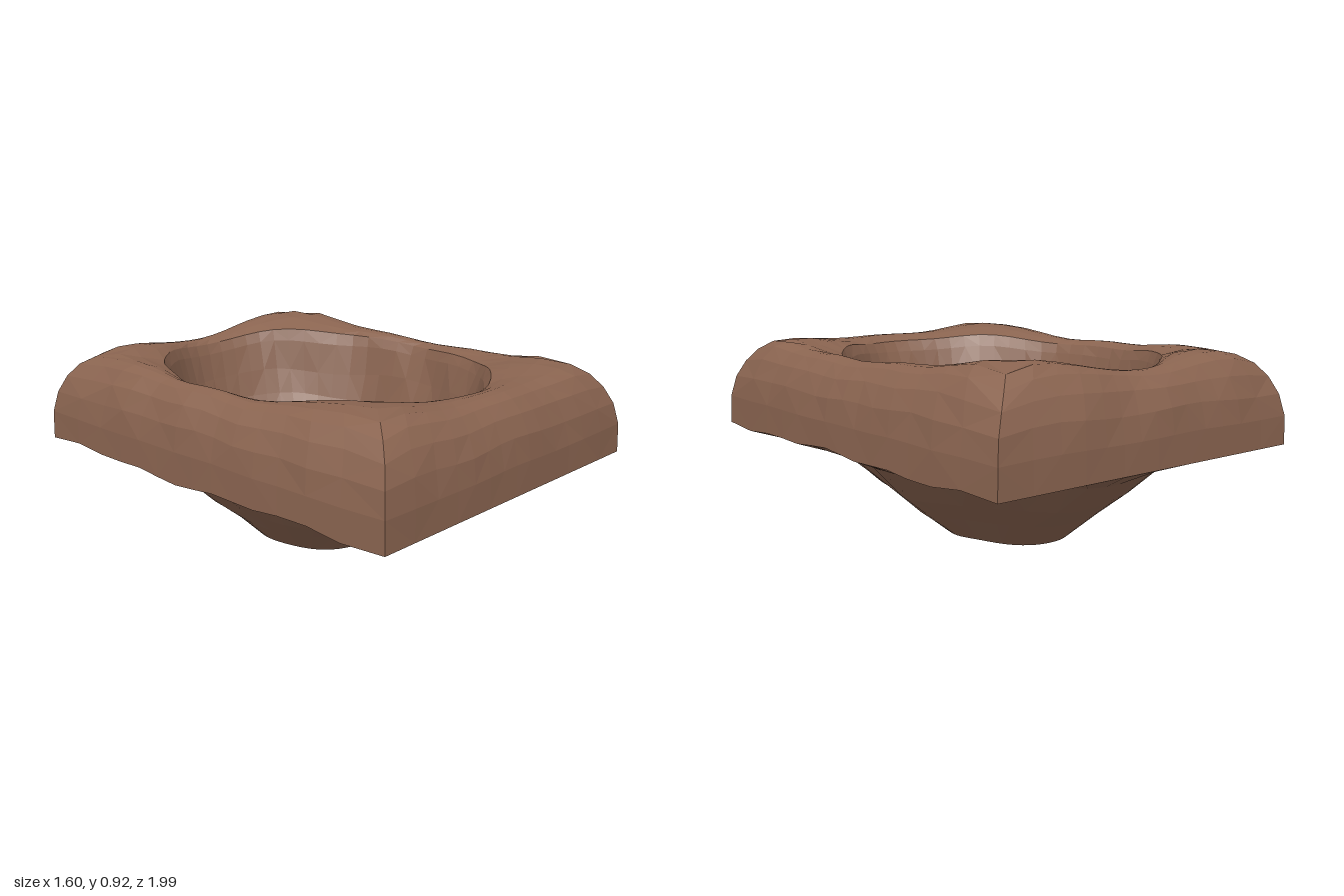
import * as THREE from 'three';

const N = 56; // points per ring, a multiple of 8 so corners are hit exactly
const W = 0.79, D = 0.995;

// Smooth, repeatable unevenness based on position
const wobble = (x, y, z) =>
  Math.sin(x * 9.1 + z * 5.3 + y * 4) * 0.5 + Math.sin(z * 13.7 - x * 7.9 + y * 11) * 0.5;

const ring = (fn) => Array.from({ length: N }, (_, i) => {
  const a = (i / N) * Math.PI * 2;
  return fn(Math.cos(a), Math.sin(a));
});

// Rectangle outline pulled in by an inset, its long sides bowed out a little
const rectangle = (inset, y) => ring((c, s) => {
  const m = Math.max(Math.abs(c), Math.abs(s));
  const bow = 0.008 * (1 - (s / m) ** 2);
  return new THREE.Vector3((c / m) * (W - inset + bow), y, (s / m) * (D - inset));
});

// Slightly turned oval; smaller ovals drift towards the lowest point
const oval = (scale, y, rx, rz, turn) => ring((c, s) => {
  const x = c * rx * scale, z = s * rz * scale;
  const ct = Math.cos(turn), st = Math.sin(turn);
  return new THREE.Vector3(x * ct + z * st, y, z * ct - x * st - 0.13 + 0.09 * scale);
});

// Height change of the bank: humps inside the corners, easing down at the corners
function bankHeight(x, z) {
  const ax = Math.abs(x), az = Math.abs(z);
  const hump = Math.exp(-(((ax - 0.52) / 0.27) ** 2) - ((az - 0.74) / 0.32) ** 2);
  const size = x > 0 && z < 0 ? 0.065 : x < 0 && z > 0 ? 0.045 : 0.03;
  const fall = THREE.MathUtils.smoothstep(ax, 0.5, 0.8) * THREE.MathUtils.smoothstep(az, 0.7, 1);
  return size * hump - 0.05 * fall;
}

// Add unevenness to a ring
function roughen(points, amount, rise = 0) {
  for (const p of points) {
    const w = wobble(p.x, p.y, p.z);
    p.y += rise * bankHeight(p.x, p.z) + w * amount;
    p.x += Math.sin(p.z * 17 + p.y * 9) * amount * 0.5;
    p.z += Math.sin(p.x * 15 + p.y * 8) * amount * 0.5;
  }
  return points;
}

// Join successive rings into a surface
function loft(name, rings, material) {
  const positions = rings.flat().flatMap((p) => [p.x, p.y, p.z]);
  const index = [];
  for (let r = 0; r < rings.length - 1; r++) {
    for (let i = 0; i < N; i++) {
      const a = r * N + i, b = r * N + ((i + 1) % N), c = a + N, d = b + N;
      if ((i + r) % 2) index.push(a, c, b, b, c, d);
      else index.push(a, d, b, a, c, d);
    }
  }
  const geometry = new THREE.BufferGeometry();
  geometry.setAttribute('position', new THREE.Float32BufferAttribute(positions, 3));
  geometry.setIndex(index);
  geometry.computeVertexNormals();
  const mesh = new THREE.Mesh(geometry, material);
  mesh.name = name;
  return mesh;
}

export function createModel() {
  const group = new THREE.Group();
  group.name = 'earthPit';
  const earth = new THREE.MeshStandardMaterial({ color: 0x8a6450, flatShading: true });

  const lowerEdge = rectangle(0, 0.485);
  for (const p of lowerEdge) {
    if (Math.abs(p.x) > W - 0.01 && Math.abs(p.z) < D - 0.05) p.y += 0.015 * wobble(p.x, 0, p.z);
  }
  const pitEdge = roughen(oval(1, 0.79, 0.595, 0.745, 0.12), 0.012, 0.8);

  // Rounded bank: outer sides up to the crest
  const bank = [[0.003, 0.61], [0.02, 0.71], [0.055, 0.79], [0.1, 0.84]]
    .map(([inset, y], i) => roughen(rectangle(inset, y), i ? 0.01 : 0.003, i / 4));
  // Top of the bank, blending from rectangle to oval
  const shoulder = rectangle(0.13, 0.855);
  const mouth = oval(1.03, 0.835, 0.595, 0.745, 0.12);
  const crown = [0.1, 0.4, 0.7, 1].map((t) => roughen(
    shoulder.map((p, i) => {
      const q = p.clone().lerp(mouth[i], t);
      q.y += 0.012 * Math.sin(t * Math.PI);
      return q;
    }), 0.009, 1));
  group.add(loft('bank', [lowerEdge, ...bank, ...crown, pitEdge], earth));

  // Hollow inside: steep wall below the mouth, then a wide sloping floor
  const hollow = [[0.95, 0.67], [0.9, 0.55], [0.82, 0.43], [0.68, 0.31], [0.45, 0.18], [0.2, 0.085]]
    .map(([s, y]) => roughen(oval(s, y, 0.595, 0.745, 0.12), 0.014));
  group.add(loft('hollow', [pitEdge, ...hollow, oval(0, 0.055, 1, 1, 0)], earth));

  // Underside, tapering to a blunt point
  const belly = [[0.12, 0.02], [0.38, 0.06], [0.6, 0.185], [0.78, 0.28], [1, 0.415]]
    .map(([s, y]) => roughen(oval(s, y, 0.64, 0.79, 0.05), 0.012));
  group.add(loft('underside', [oval(0, 0, 1, 1, 0), ...belly, lowerEdge], earth));

  return group;
}
